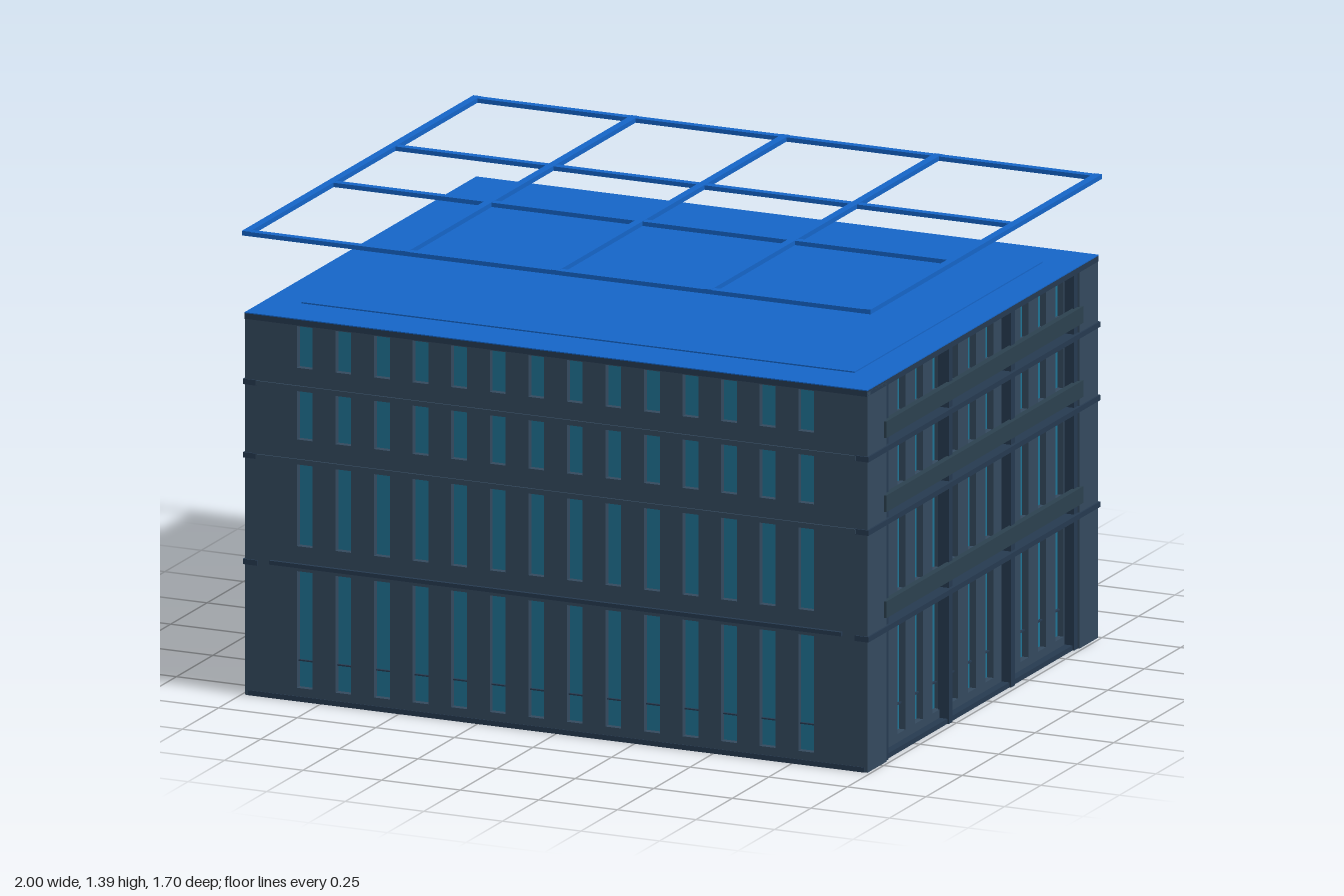
import * as THREE from 'three';

const mat = (color) => new THREE.MeshStandardMaterial({ color });
const WALL = mat(0x34495e), TRIM = mat(0x263a50), RAIL = mat(0x2c414f);
const GLASS = mat(0x1f7394), BLUE = mat(0x1565c8);

// Overall extents: the body sits a little forward of the origin
const X = 0.99, ZF = 0.84, ZB = -0.745, ZC = (ZF + ZB) / 2, DEPTH = ZF - ZB;
const TOP = 1.14, THICK = 0.02, SIDE_X = 0.955;
const ROWS = [[0.04, 0.39], [0.465, 0.71], [0.785, 0.93], [1.0, 1.125]];

const spread = (n, a, b) => Array.from({ length: n }, (_, i) => a + (b - a) * i / (n - 1));

export function createModel() {
  const model = new THREE.Group();
  model.name = 'officeBuilding';

  // Box given by its minimum and maximum corners
  function box(name, m, x0, x1, y0, y1, z0, z1, parent = model) {
    const mesh = new THREE.Mesh(new THREE.BoxGeometry(x1 - x0, y1 - y0, z1 - z0), m);
    mesh.position.set((x0 + x1) / 2, (y0 + y1) / 2, (z0 + z1) / 2);
    mesh.name = name;
    parent.add(mesh);
    return mesh;
  }

  // Wall panel with a grid of window openings, outer face at local z = 0
  function windowWall(name, halfWidth, columns, winWidth) {
    const wall = new THREE.Group();
    wall.name = name;
    const rect = (S, x0, x1, y0, y1) => new S([
      new THREE.Vector2(x0, y0), new THREE.Vector2(x1, y0),
      new THREE.Vector2(x1, y1), new THREE.Vector2(x0, y1)]);
    const shape = rect(THREE.Shape, -halfWidth, halfWidth, 0, TOP);
    for (const c of columns) {
      for (const [y0, y1] of ROWS) {
        shape.holes.push(rect(THREE.Path, c - winWidth / 2, c + winWidth / 2, y0, y1));
      }
      box('windowBar', TRIM, c - winWidth / 2, c + winWidth / 2, 0.118, 0.122, -THICK, -0.012, wall);
    }
    const geo = new THREE.ExtrudeGeometry(shape, { depth: THICK, bevelEnabled: false });
    geo.translate(0, 0, -THICK);
    const panel = new THREE.Mesh(geo, WALL);
    panel.name = name + 'Panel';
    wall.add(panel);
    model.add(wall);
    return wall;
  }

  // Glazed core showing through the openings
  box('glazing', GLASS, -SIDE_X + THICK, SIDE_X - THICK, 0.01, TOP - 0.01, ZB + THICK, ZF - THICK);
  box('basePlate', TRIM, -0.98, 0.98, 0, 0.015, ZB - 0.002, ZF + 0.002);

  // Front and back walls
  const frontColumns = spread(14, -0.8, 0.795);
  windowWall('frontWall', X, frontColumns, 0.05).position.z = ZF;
  const back = windowWall('backWall', X, frontColumns.map((c) => -c), 0.05);
  back.position.z = ZB;
  back.rotation.y = Math.PI;

  // Recessed side walls with piers, columns, floor edges and balcony rails
  const sideColumns = spread(11, 0.652, -0.556);
  for (const s of [-1, 1]) {
    const wall = windowWall(s > 0 ? 'leftWall' : 'rightWall', DEPTH / 2 - 0.02,
      sideColumns.map((z) => -s * (z - ZC)), 0.055);
    wall.position.set(s * SIDE_X, 0, ZC);
    wall.rotation.y = s * Math.PI / 2;

    const side = (name, m, a, b, y0, y1, z0, z1) =>
      box(name, m, Math.min(s * a, s * b), Math.max(s * a, s * b), y0, y1, z0, z1);
    side('cornerPier', WALL, SIDE_X - 0.01, X, 0, TOP, 0.71, ZF - 0.001);
    side('cornerPier', WALL, SIDE_X - 0.01, X, 0, TOP, ZB + 0.001, -0.615);
    for (const z of [0.697, 0.257, -0.17, -0.603]) {
      side('sideColumn', TRIM, SIDE_X - 0.005, X - 0.005, 0, TOP, z - 0.013, z + 0.013);
    }
    for (const y of [0.4, 0.72, 0.94]) {
      side('floorEdge', TRIM, SIDE_X - 0.005, 0.995, y - 0.008, y + 0.008, ZB - 0.004, ZF + 0.004);
    }
    for (const y of [0.46, 0.778, 1.0]) {
      side('balconyRail', RAIL, X - 0.012, 0.997, y - 0.025, y + 0.025, -0.63, 0.725);
    }
  }

  // Ledges along the front and back
  for (const y of [0.72, 0.94]) {
    box('storeyLedge', WALL, -SIDE_X, SIDE_X, y - 0.007, y + 0.007, ZB - 0.005, ZF + 0.005);
  }
  box('mainLedge', TRIM, -0.91, 0.91, 0.402, 0.414, ZB - 0.01, ZF + 0.01);

  // Roof edge, roof and its slightly raised centre
  box('roofEdge', TRIM, -X, X, TOP - 0.012, TOP + 0.005, ZB - 0.003, ZF + 0.003);
  box('roof', BLUE, -X, X, TOP + 0.005, TOP + 0.008, ZB - 0.003, ZF + 0.003);
  box('raisedRoof', BLUE, -0.88, 0.88, TOP + 0.008, TOP + 0.012, -0.6, 0.69);

  // Floating roof grid
  const grid = new THREE.Group();
  grid.name = 'roofGrid';
  model.add(grid);
  const G = 0.012, gy0 = 1.376, gy1 = 1.39;
  for (const x of [-0.988, -0.485, -0.005, 0.48, 0.988]) {
    box('gridBar', BLUE, x - G, x + G, gy0, gy1, ZB - 0.005, ZF, grid);
  }
  for (const z of [-0.738, -0.175, 0.25, 0.828]) {
    box('gridCrossbar', BLUE, -1, 1, gy0, gy1 - 0.001, z - G, z + G, grid);
  }

  // Two back entrances: door, canopy and doorstep
  for (const x of [-0.5, 0.493]) {
    box('doorFrame', TRIM, x - 0.065, x + 0.065, 0.005, 0.178, ZB - 0.003, ZB + 0.01);
    for (const d of [-0.03, 0.03]) {
      box('doorGlass', GLASS, x + d - 0.027, x + d + 0.027, 0.012, 0.17, ZB - 0.005, ZB);
    }
    box('canopy', RAIL, x - 0.077, x + 0.077, 0.176, 0.186, -0.812, ZB);
    box('doorstep', RAIL, x - 0.094, x + 0.094, 0, 0.005, -0.85, ZB);
  }

  return model;
}
